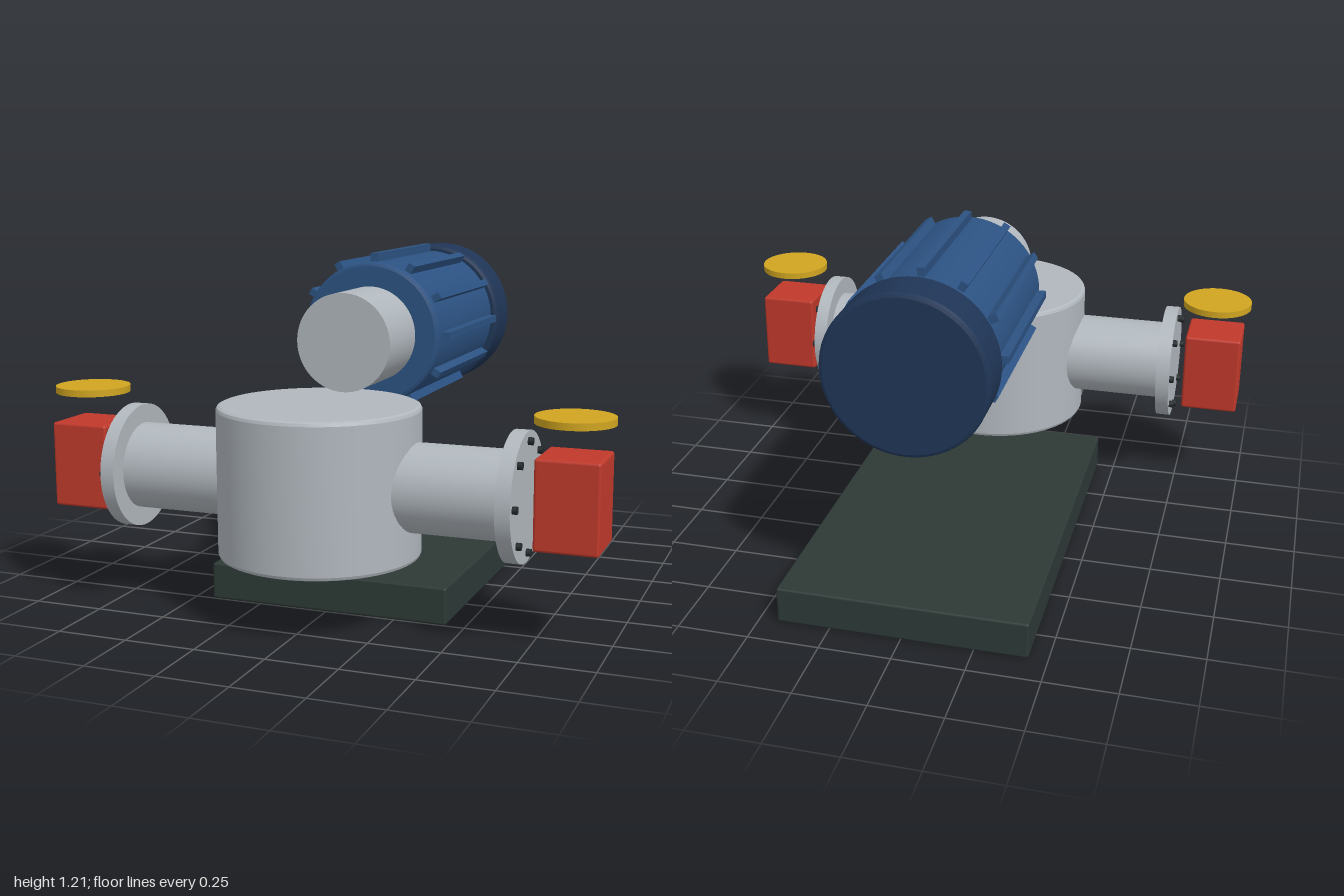
import * as THREE from 'three';
import { toCreasedNormals } from 'three/addons/utils/BufferGeometryUtils.js';
import { RoundedBoxGeometry } from 'three/addons/geometries/RoundedBoxGeometry.js';

const paint = (name, color) => {
  const m = new THREE.MeshStandardMaterial({ color });
  m.name = name;
  return m;
};

// Solid drum along y, centred, with a small chamfer on both rims
function drum(radius, length, bevel) {
  const h = length / 2, b = bevel, k = bevel * 0.3;
  const profile = [
    [0, -h], [radius - b, -h], [radius - k, -h + k], [radius, -h + b],
    [radius, h - b], [radius - k, h - k], [radius - b, h], [0, h],
  ].map(([x, y]) => new THREE.Vector2(x, y));
  return toCreasedNormals(new THREE.LatheGeometry(profile, 64), 0.4);
}

export function createModel() {
  const model = new THREE.Group();
  model.name = 'motorPump';

  const steel = paint('steel grey', 0xb0b7bd);
  const blue = paint('motor blue', 0x2c5282);
  const navy = paint('cover navy', 0x1f3556);
  const red = paint('valve red', 0xc0392b);
  const yellow = paint('handwheel yellow', 0xd0a520);
  const dark = paint('base dark green', 0x2d3936);
  const black = paint('bolt black', 0x23292b);

  const add = (parent, name, geometry, material, x = 0, y = 0, z = 0) => {
    const mesh = new THREE.Mesh(geometry, material);
    mesh.name = name;
    mesh.position.set(x, y, z);
    parent.add(mesh);
    return mesh;
  };
  const cylinder = (r, l, n = 64) => new THREE.CylinderGeometry(r, r, l, n);

  // Base plate and pump casing
  add(model, 'basePlate', new RoundedBoxGeometry(0.87, 0.13, 1.39, 2, 0.008), dark, 0, 0.065, -0.195);
  const pumpZ = 0.545;
  add(model, 'pumpCasing', drum(0.345, 0.515, 0.014), steel, 0, 0.4815, pumpZ);

  // Motor, built along its own y axis and laid down so that +y points forward
  const motor = new THREE.Group();
  motor.name = 'motor';
  motor.position.y = 0.917;
  motor.rotation.x = Math.PI / 2;
  model.add(motor);
  add(motor, 'motorNeck', cylinder(0.173, 0.29), steel, 0, 0.185);
  add(motor, 'motorBody', drum(0.26, 0.695, 0.014), blue, 0, -0.2825);
  add(motor, 'rearCover', drum(0.282, 0.17, 0.014), navy, 0, -0.717);

  // Cooling fins around the motor body
  const finGeometry = new THREE.BoxGeometry(0.045, 0.61, 0.026);
  for (let i = 0; i < 12; i++) {
    const a = (i / 12) * Math.PI * 2;
    const fin = add(motor, 'coolingFin', finGeometry, blue, Math.cos(a) * 0.268, -0.28, Math.sin(a) * 0.268);
    fin.rotation.y = -a;
  }

  // Pipe, flange, bolts and valve on each side
  for (const side of [1, -1]) {
    const branch = new THREE.Group();
    branch.name = side > 0 ? 'leftBranch' : 'rightBranch';
    branch.position.set(0, 0.48, pumpZ);
    branch.rotation.y = side > 0 ? 0 : Math.PI;
    model.add(branch);

    add(branch, 'pipe', cylinder(0.15, 0.37), steel, 0.495).rotation.z = -Math.PI / 2;
    add(branch, 'flange', cylinder(0.216, 0.05), steel, 0.695).rotation.z = -Math.PI / 2;
    for (let i = 0; i < 8; i++) {
      const a = (i / 8) * Math.PI * 2;
      const bolt = add(branch, 'flangeBolt', cylinder(0.013, 0.03, 12), black,
        0.721, Math.sin(a) * 0.183, Math.cos(a) * 0.183);
      bolt.rotation.z = -Math.PI / 2;
    }
    add(branch, 'valveBody', new RoundedBoxGeometry(0.212, 0.3, 0.212, 2, 0.01), red, 0.87);
    add(branch, 'valveHandwheel', cylinder(0.13, 0.024), yellow, 0.87, 0.262);
  }

  return model;
}
